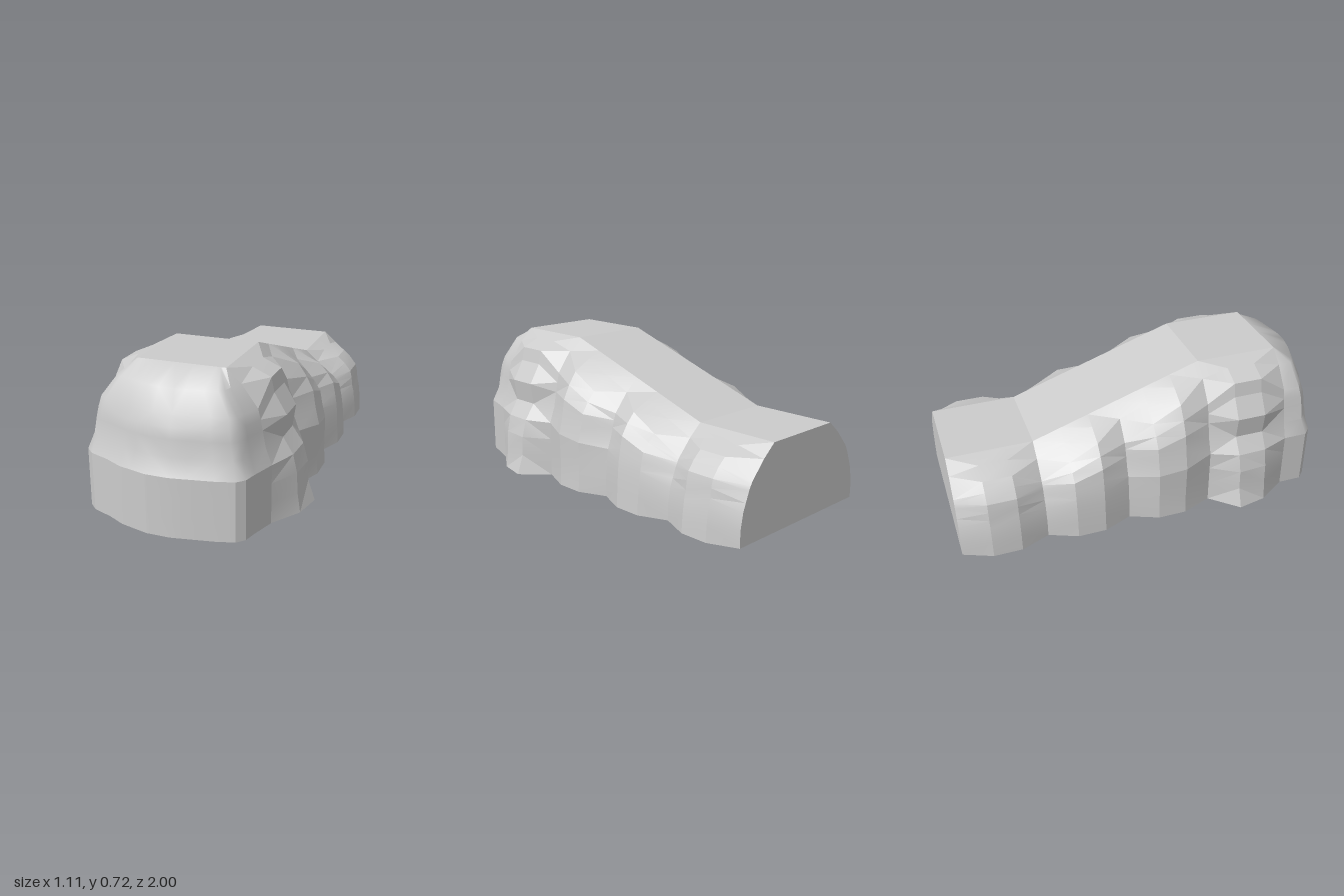
import * as THREE from 'three';
import { toCreasedNormals } from 'three/addons/utils/BufferGeometryUtils.js';

const lerp = THREE.MathUtils.lerp;

// Half cross-sections [x, y] from the base up to the roof edge
const TALL = [[.43, 0], [.43, .1], [.43, .2], [.43, .29], [.4, .37], [.385, .45], [.375, .5], [.363, .55], [.285, .655], [.215, .72]];
const LOW = [[.43, 0], [.43, .08], [.415, .16], [.4, .2], [.39, .225], [.38, .25], [.37, .27], [.36, .287], [.285, .37], [.215, .43]];

// Swelling of each section point: outward, and upward
const FLAT = [0, 0, 0, 0, 0, 0, 0, 0, 0, 0];
const RIB = [.06, .055, .06, .065, .07, .07, .045, .013, 0, 0];
const FENDER = [.125, .09, .085, .06, .035, .065, .015, .012, 0, 0];
const FENDER_FRONT = [.095, .08, .075, .055, .035, .065, .015, .012, 0, 0];
const RIB_LIFT = [0, 0, 0, 0, .02, .035, .06, .08, .03, 0];
const RIB_LIFT_BACK = [0, 0, 0, 0, .01, .02, .035, .045, .015, 0];
const FENDER_LIFT = [0, 0, 0, 0, 0, .03, .08, .1, .035, 0];

// Stations along the length: z, swelling, lift
const STATIONS = [
  [-1, FLAT, FLAT], [-.857, RIB, RIB_LIFT], [-.714, RIB, RIB_LIFT],
  [-.571, FLAT, FLAT], [-.429, RIB, RIB_LIFT_BACK], [-.286, RIB, RIB_LIFT],
  [-.143, FLAT, FLAT], [0, RIB, RIB_LIFT_BACK], [.143, RIB, RIB_LIFT],
  [.295, FLAT, FLAT], [.429, FENDER, FENDER_LIFT], [.576, FENDER_FRONT, FENDER_LIFT], [.72, FLAT, FLAT],
];

// Nose: forward reach of each section point, and the rounded plan [x, z] in fractions
const NOSE_Z = [1, 1, 1, 1, .96, .955, .945, .92, .875, .72];
const PLAN = [[-1, 0], [-1, .43], [-.9, .58], [-.67, .71], [-.47, .87], [-.32, .93], [-.14, 1],
  [.12, 1], [.3, .95], [.58, .87], [.79, .78], [.87, .65], [.91, .42], [1, 0]];

// Half section at a station; the roof slopes down toward the back
function halfSection([z, swell, lift]) {
  const t = THREE.MathUtils.clamp((z + .571) / .866, 0, 1);
  return TALL.map(([x, y], j) => [lerp(LOW[j][0], x, t) + swell[j], lerp(LOW[j][1], y, t) + lift[j]]);
}

// Surface through a grid of [x, y, z] points, each cell cut along its shorter diagonal
function gridSurface(rows) {
  const points = rows.flat().map((p) => new THREE.Vector3(...p));
  const n = rows[0].length, index = [];
  for (let i = 0; i < rows.length - 1; i++) {
    for (let j = 0; j < n - 1; j++) {
      const a = i * n + j, b = a + 1, c = a + n, d = c + 1;
      if (points[a].distanceTo(points[d]) < points[b].distanceTo(points[c])) index.push(a, b, d, a, d, c);
      else index.push(a, b, c, b, d, c);
    }
  }
  const g = new THREE.BufferGeometry().setFromPoints(points);
  g.setIndex(index);
  g.computeVertexNormals();
  return g;
}

const shapeOf = (pts) => new THREE.Shape(pts.map(([x, y]) => new THREE.Vector2(x, y)));

export function createModel() {
  const group = new THREE.Group();
  const flat = new THREE.MeshStandardMaterial({ color: 0xcccccc, flatShading: true });
  const smooth = new THREE.MeshStandardMaterial({ color: 0xcccccc });
  const inner = new THREE.MeshStandardMaterial({ color: 0xcccccc, flatShading: true, side: THREE.DoubleSide });
  const add = (name, geometry, material) => {
    const mesh = new THREE.Mesh(geometry, material);
    mesh.name = name;
    group.add(mesh);
  };

  // Ribbed body lofted from back to front
  const halves = STATIONS.map(halfSection);
  const rings = halves.map((half, i) => {
    const left = half.map(([x, y]) => [x, y, STATIONS[i][0]]);
    return [...left, ...left.map(([x, y, z]) => [-x, y, z]).reverse()];
  });
  add('ribbedBody', toCreasedNormals(gridSurface(rings), .2), smooth);

  // Flat back wall
  const back = new THREE.ShapeGeometry(shapeOf(rings[0]));
  back.rotateY(Math.PI).translate(0, 0, -1);
  add('backWall', back, flat);

  // Nose rows follow the plan curve: upright bumper below, soft dome above
  const noseRows = TALL.map(([w, y], j) => PLAN.map(([px, pz]) => [w * px, y, lerp(.72, NOSE_Z[j], pz)]));
  add('bumper', toCreasedNormals(gridSurface(noseRows.slice(0, 4)), .2), smooth);
  add('noseDome', toCreasedNormals(gridSurface(noseRows.slice(3)), .8), smooth);

  // Underside following the body outline, with a rectangular opening
  const side = halves.map((half, i) => [half[0][0], STATIONS[i][0]]);
  const front = noseRows[0].slice(1, -1).map(([x, , z]) => [x, z]).reverse();
  const base = shapeOf([...side, ...front, ...side.map(([x, z]) => [-x, z]).reverse()]);
  const w = .215, z0 = -.143, z1 = .286, z2 = .714;
  base.holes.push(new THREE.Path([[-w, z0], [-w, z2], [w, z2], [w, z0]].map(([x, z]) => new THREE.Vector2(x, z))));
  add('underside', new THREE.ShapeGeometry(base).rotateX(Math.PI / 2), flat);

  // Stepped recess inside the opening
  const profile = [[z0, 0], [z0, .145], [z1, .145], [z1, .29], [z2, .29], [z2, 0]];
  add('recessCeiling', gridSurface(profile.map(([z, y]) => [[-w, y, z], [w, y, z]])), inner);
  for (const s of [-1, 1]) {
    const wall = new THREE.ShapeGeometry(shapeOf(profile)).rotateY(-Math.PI / 2).translate(s * w, 0, 0);
    add(s > 0 ? 'recessLeftWall' : 'recessRightWall', wall, inner);
  }
  return group;
}
